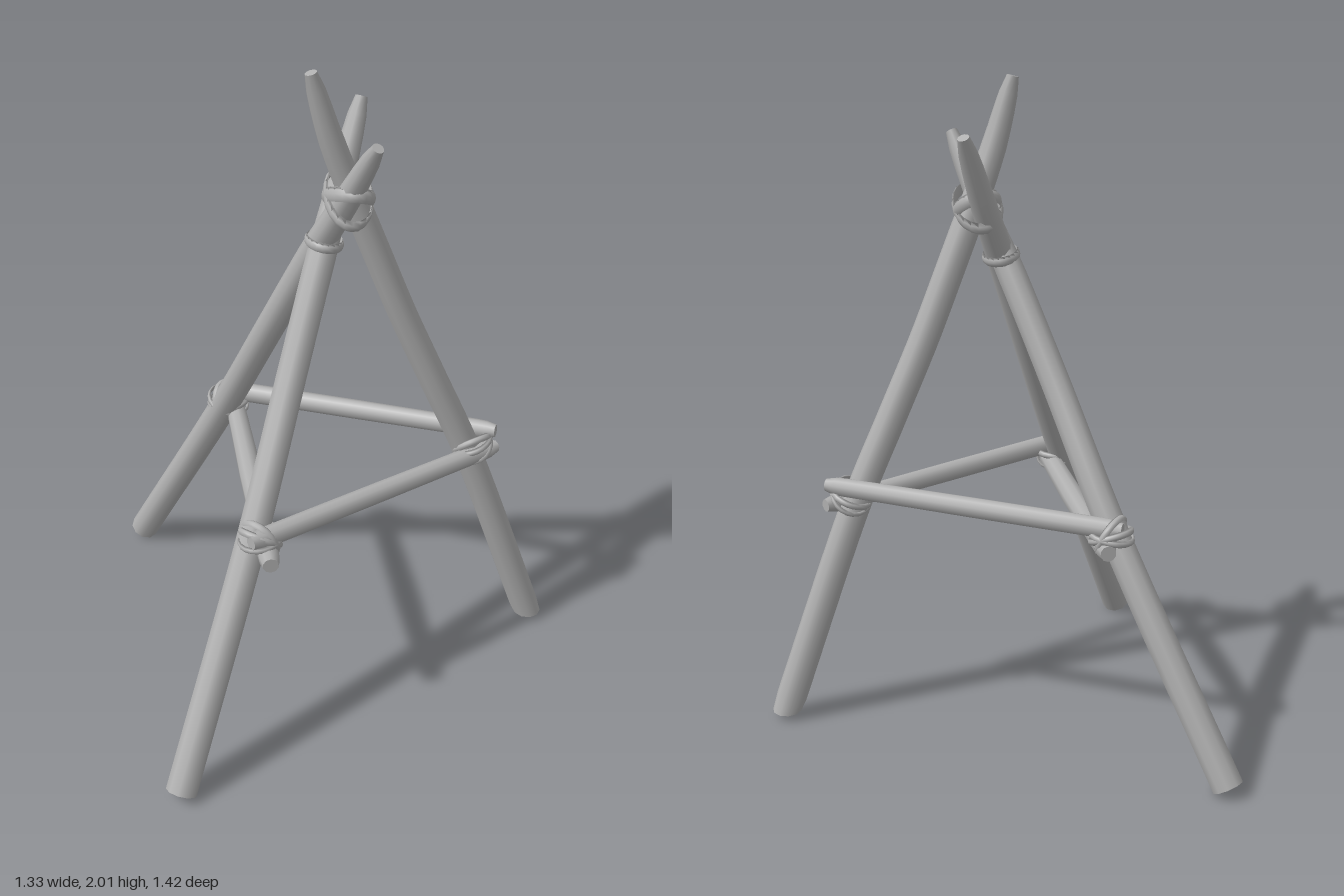
import * as THREE from 'three';
import { mergeGeometries } from 'three/addons/utils/BufferGeometryUtils.js';

const V = (p) => new THREE.Vector3(...p);

// Piecewise-linear lookup in [[u, value], ...]
function lookup(table, u) {
  for (let i = 1; i < table.length; i++) {
    const [u0, a] = table[i - 1], [u1, b] = table[i];
    if (u <= u1) return a + (b - a) * (u - u0) / (u1 - u0);
  }
  return table[table.length - 1][1];
}

// Tapered pole swept along a curve, with a flat cap at each end
function pole(points, radii, steps, flatFoot) {
  const sides = 10;
  const curve = new THREE.CatmullRomCurve3(points.map(V));
  const tube = new THREE.TubeGeometry(curve, steps, 1, sides, false);
  tube.deleteAttribute('uv');
  const pos = tube.attributes.position, p = new THREE.Vector3();
  const rings = [];
  for (let i = 0; i <= steps; i++) {
    const c = curve.getPointAt(i / steps), r = lookup(radii, i / steps);
    const ring = [];
    for (let j = 0; j <= sides; j++) {
      const k = i * (sides + 1) + j;
      p.fromBufferAttribute(pos, k).sub(c).multiplyScalar(r).add(c);
      if (i === 0 && flatFoot !== undefined) p.y = flatFoot;
      pos.setXYZ(k, p.x, p.y, p.z);
      ring.push(p.x, p.y, p.z);
    }
    rings.push({ c, ring });
  }
  const cap = ({ c, ring }, end, y) => {
    const g = new THREE.BufferGeometry();
    g.setAttribute('position', new THREE.Float32BufferAttribute([c.x, y ?? c.y, c.z, ...ring], 3));
    const index = [];
    for (let j = 1; j <= sides; j++) index.push(0, end ? j + 1 : j, end ? j : j + 1);
    g.setIndex(index);
    g.computeVertexNormals();
    return g;
  };
  return mergeGeometries([tube, cap(rings[0], false, flatFoot), cap(rings[steps], true)]);
}

// Oval rope loop: flat band around an axis, stretched along a given direction
function loop(center, axis, long, rLong, rShort, width) {
  const t = 0.006, h = width / 2;
  const profile = [[1 - t * 14, -h], [1, -h * 0.6], [1 + t * 5, 0], [1, h * 0.6], [1 - t * 14, h], [1 - t * 14, -h]]
    .map(([x, y]) => new THREE.Vector2(x, y));
  const g = new THREE.LatheGeometry(profile, 20);
  g.scale(rLong, 1, rShort);
  const y = V(axis).normalize(), x = V(long);
  x.addScaledVector(y, -x.dot(y)).normalize();
  const m = new THREE.Matrix4().makeBasis(x, y, x.clone().cross(y)).setPosition(V(center));
  return g.applyMatrix4(m);
}

export function createModel() {
  const model = new THREE.Group();
  const wood = new THREE.MeshStandardMaterial({ color: 0xb0b0b0 });
  wood.name = 'plain grey';
  const add = (name, geometry) => {
    const mesh = new THREE.Mesh(geometry, wood);
    mesh.name = name;
    model.add(mesh);
  };

  // Three crossing legs
  const legRadii = [[0, 0.048], [0.78, 0.044], [0.9, 0.038], [0.97, 0.03], [1, 0.018]];
  add('leftLeg', pole([
    [0.617, 0.02, 0.033], [0.375, 0.72, 0.037], [0.27, 0.97, 0.037], [0.165, 1.22, 0.035],
    [0.085, 1.43, 0.035], [0.01, 1.63, 0.037], [-0.05, 1.8, 0.04], [-0.105, 2, 0.042]], legRadii, 40, 0.02));
  add('frontLeg', pole([
    [-0.62, 0.022, 0.665], [-0.35, 0.7, 0.37], [-0.19, 1.13, 0.165], [-0.075, 1.45, 0.03],
    [-0.01, 1.62, -0.045], [0.07, 1.85, -0.135]], legRadii, 40));
  add('backLeg', pole([
    [-0.62, 0.022, -0.665], [-0.345, 0.7, -0.36], [-0.2, 1.13, -0.145], [-0.085, 1.45, 0],
    [-0.025, 1.6, 0.07], [0.055, 1.825, 0.18]], legRadii, 40));

  // Three rungs joining the legs
  const rungRadii = [[0, 0.022], [0.04, 0.031], [0.5, 0.031], [0.96, 0.029], [1, 0.02]];
  const rung = (a, b) => pole([a, a.map((v, i) => (v + b[i]) / 2), b], rungRadii, 30);
  add('frontRung', rung([-0.36, 0.737, 0.435], [0.475, 0.705, 0.035]));
  add('backRung', rung([-0.35, 0.742, -0.41], [0.47, 0.77, 0.045]));
  add('rightRung', pole([[-0.31, 0.685, 0.485], [-0.305, 0.685, 0.02], [-0.302, 0.685, -0.44]],
    [[0, 0.024], [0.04, 0.032], [0.5, 0.036], [0.96, 0.031], [1, 0.024]], 30));

  // Crossed rope loops at each rung joint: centre, leg direction, outward direction
  const joints = [
    ['leftLashing', [0.395, 0.73, 0.04], [-0.33, 0.94, 0], [1, 0, 0]],
    ['frontLashing', [-0.325, 0.715, 0.385], [0.34, 0.86, -0.38], [0.6, 0, 0.7]],
    ['backLashing', [-0.325, 0.715, -0.375], [0.34, 0.86, 0.38], [0.6, 0, -0.7]],
  ];
  for (const [name, c, leg, out] of joints) {
    const side = V(leg).cross(V(out)).normalize();
    const loops = [-0.7, 0.15, 0.8].map((tilt) => {
      const axis = V(leg).addScaledVector(side, tilt).toArray();
      return loop(c, axis, out, 0.066, 0.07, 0.022);
    });
    add(name, mergeGeometries(loops));
  }

  // Rope bands where the legs cross
  add('topLashing', mergeGeometries([
    loop([0, 1.62, 0.038], [0.2, 1, 0.5], [0, 0, 1], 0.118, 0.072, 0.042),
    loop([0, 1.62, 0.038], [0.2, 1, -0.5], [0, 0, 1], 0.118, 0.072, 0.042),
    loop([-0.068, 1.475, 0.02], [0.2, 1, -0.1], [0, 0, 1], 0.068, 0.056, 0.03),
  ]));

  return model;
}
